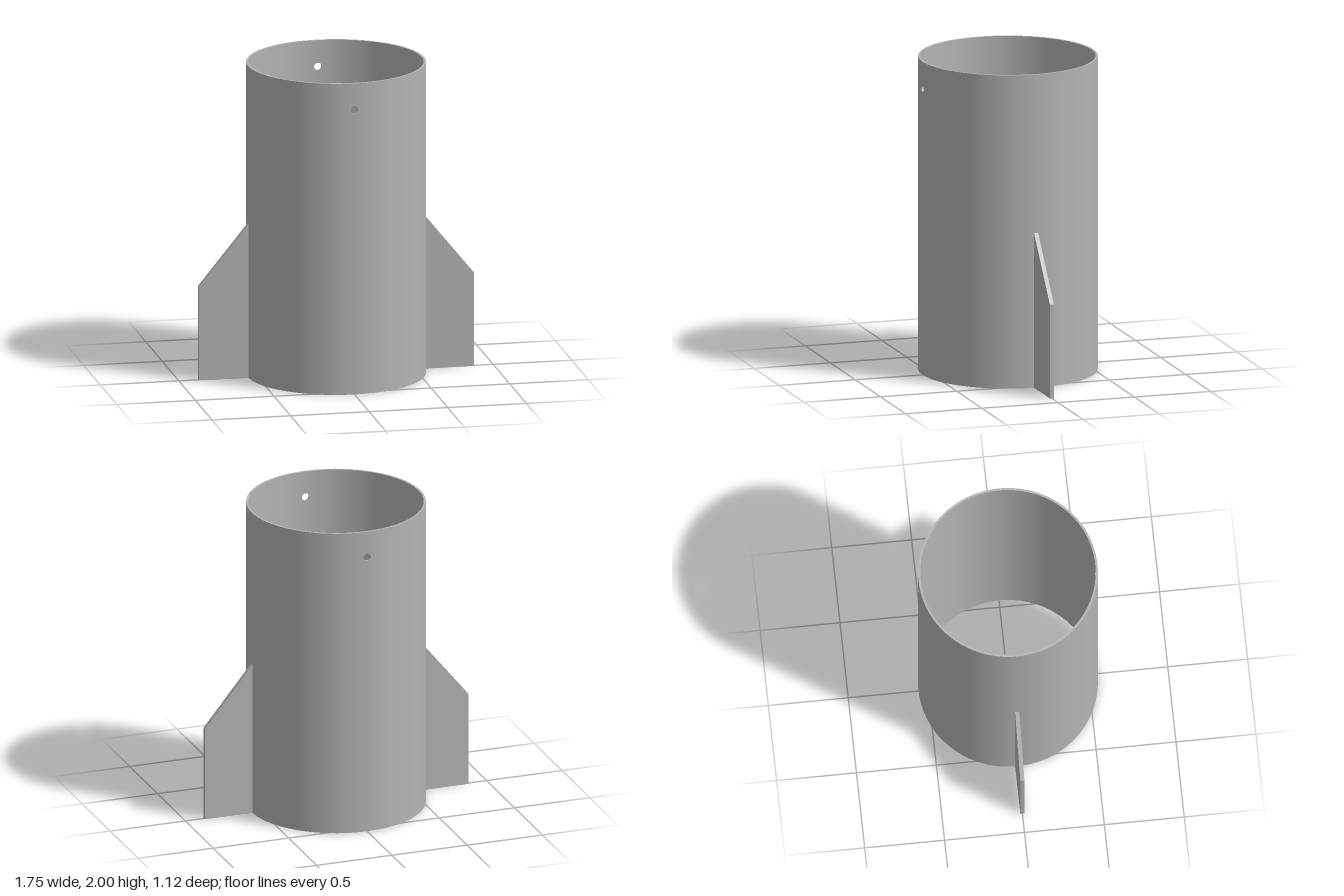
import * as THREE from 'three';

const R = 0.56, INNER = 0.546, HEIGHT = 2;
const SEGMENTS = 64, HALF = Math.PI / SEGMENTS; // half the angle of one wall facet
const HOLE_Y = 1.83, HOLE_R = 0.024;
const BAND_LOW = HOLE_Y - 0.04, BAND_HIGH = HOLE_Y + 0.04;

export function createModel() {
  const model = new THREE.Group();
  const grey = new THREE.MeshStandardMaterial({ color: 0xb4b4b4 });
  grey.name = 'grey';

  const add = (name, geometry, parent = model) => {
    const mesh = new THREE.Mesh(geometry, grey);
    mesh.name = name;
    parent.add(mesh);
    return mesh;
  };

  // One surface of revolution between two profile points [radius, y]
  const sweep = (name, from, to, start = HALF, facets = SEGMENTS) =>
    add(name, new THREE.LatheGeometry(
      [new THREE.Vector2(...from), new THREE.Vector2(...to)], facets, start, facets * HALF * 2));

  // Outer and inner skins of a stretch of tube wall
  const wall = (name, low, high, start, facets) => {
    sweep(name + 'Outside', [R, low], [R, high], start, facets);
    sweep(name + 'Inside', [INNER, high], [INNER, low], start, facets);
  };

  // Open tube with its end rims
  wall('lowerTube', 0, BAND_LOW);
  wall('upperTube', BAND_HIGH, HEIGHT);
  sweep('topRim', [R, HEIGHT], [INNER, HEIGHT]);
  sweep('bottomRim', [INNER, 0], [R, 0]);

  // Band at hole height, leaving one facet free at the front and back
  for (const start of [HALF, Math.PI + HALF]) {
    wall('holeBand', BAND_LOW, BAND_HIGH, start, SEGMENTS / 2 - 1);
  }

  // Pierced facets that fill the gaps
  const w = R * Math.sin(HALF), h = (BAND_HIGH - BAND_LOW) / 2;
  const facet = new THREE.Shape([
    new THREE.Vector2(-w, -h), new THREE.Vector2(w, -h),
    new THREE.Vector2(w, h), new THREE.Vector2(-w, h),
  ]);
  facet.holes.push(new THREE.Path().absarc(0, 0, HOLE_R, 0, Math.PI * 2, true));
  const pierced = new THREE.ExtrudeGeometry(facet, {
    depth: (R - INNER) * Math.cos(HALF), bevelEnabled: false, curveSegments: 24,
  });
  pierced.translate(0, HOLE_Y, INNER * Math.cos(HALF));
  // Caps take the wall's rounded shading
  const { position, normal } = pierced.attributes;
  for (let i = 0; i < position.count; i++) {
    const side = normal.getZ(i);
    if (Math.abs(side) < 0.9) continue;
    const angle = Math.atan2(position.getX(i), position.getZ(i));
    normal.setXYZ(i, Math.sin(angle) * side, 0, Math.cos(angle) * side);
  }
  add('frontHole', pierced);
  add('backHole', pierced).rotation.y = Math.PI;

  // Two clipped fins, rooted just inside the wall
  const finShape = new THREE.Shape([
    new THREE.Vector2(0.552, 0), new THREE.Vector2(0.876, 0),
    new THREE.Vector2(0.876, 0.6), new THREE.Vector2(0.558, 0.99),
    new THREE.Vector2(0.552, 0.99),
  ]);
  const fin = new THREE.ExtrudeGeometry(finShape, { depth: 0.026, bevelEnabled: false });
  fin.translate(0, 0, -0.013);
  add('leftFin', fin);
  add('rightFin', fin).rotation.y = Math.PI;

  return model;
}
